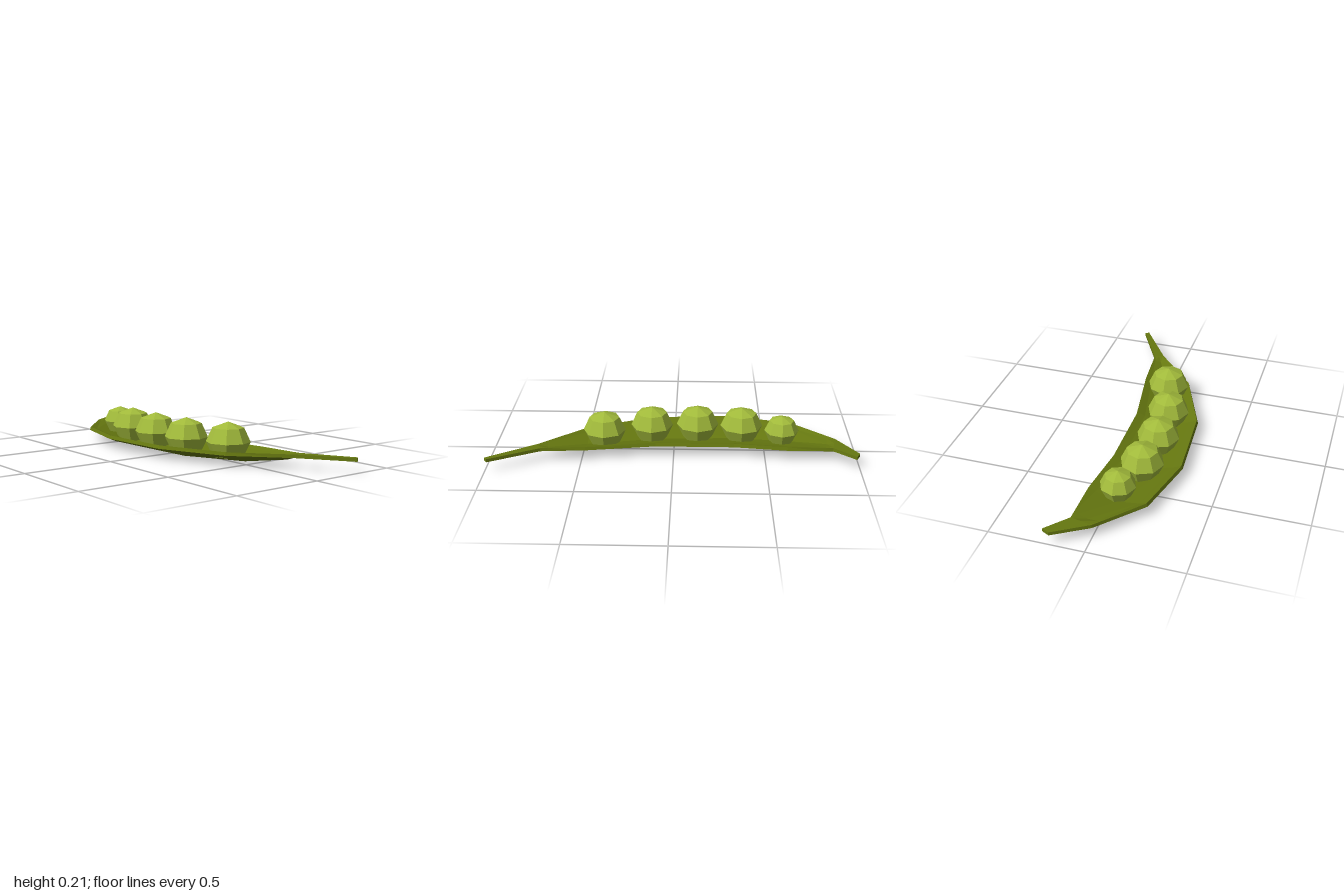
import * as THREE from 'three';

// Stations along the pod: front rim x, z, back rim x, z, bowl depth
const STATIONS = [
  [-1.0, -0.18, -0.98, -0.22, 0],
  [-0.89, 0.0, -0.865, -0.12, 0],
  [-0.85, 0.037, -0.825, -0.12, 0.013],
  [-0.66, 0.21, -0.62, -0.12, 0.04],
  [-0.315, 0.297, -0.33, -0.085, 0.054],
  [0.115, 0.27, 0.1, -0.085, 0.058],
  [0.48, 0.125, 0.48, -0.145, 0.044],
  [0.69, -0.062, 0.68, -0.158, 0.016],
  [0.74, -0.107, 0.72, -0.162, 0],
  [1.0, -0.28, 0.985, -0.3, 0],
];

// Closed cross-section: position from front to back, share of depth, rim height
const SECTION = [
  [0, 0, 0.06], [0.12, 0.34, 0.06], [0.5, 1, 0.06], [0.88, 0.34, 0.06], [1, 0, 0.06],
  [0.98, 0, 0.078], [0.86, 0.34, 0.078], [0.5, 1, 0.078], [0.14, 0.34, 0.078], [0.02, 0, 0.078],
];

// x, z, radius, half height
const PEAS = [
  [-0.595, 0.035, 0.095, 0.085],
  [-0.375, 0.095, 0.117, 0.105],
  [-0.13, 0.11, 0.117, 0.105],
  [0.125, 0.095, 0.117, 0.105],
  [0.385, 0.023, 0.117, 0.105],
];

function faceted(geometry) {
  const g = geometry.index ? geometry.toNonIndexed() : geometry;
  g.computeVertexNormals();
  return g;
}

function podGeometry() {
  const n = SECTION.length;
  const last = (STATIONS.length - 1) * n;
  const positions = [];
  const index = [];
  for (const [fx, fz, bx, bz, depth] of STATIONS) {
    for (const [t, share, y] of SECTION) {
      positions.push(fx + (bx - fx) * t, y - depth * share, fz + (bz - fz) * t);
    }
  }
  // Skin between neighbouring sections
  for (let i = 0; i < STATIONS.length - 1; i++) {
    for (let j = 0; j < n; j++) {
      const k = (j + 1) % n;
      const a = i * n + j, b = i * n + k, c = b + n, d = a + n;
      index.push(a, b, c, a, c, d);
    }
  }
  // End caps
  for (let j = 1; j < n - 1; j++) {
    index.push(0, j + 1, j, last, last + j, last + j + 1);
  }
  const g = new THREE.BufferGeometry();
  g.setAttribute('position', new THREE.Float32BufferAttribute(positions, 3));
  g.setIndex(index);
  return faceted(g);
}

function peaGeometry(radius, height) {
  const g = new THREE.SphereGeometry(1, 8, 4);
  const p = g.attributes.position;
  // Flatten the underside so it rests inside the pod
  for (let i = 0; i < p.count; i++) p.setY(i, Math.max(p.getY(i), -0.85));
  g.scale(radius, height, radius);
  return faceted(g);
}

export function createModel() {
  const podGreen = new THREE.MeshStandardMaterial({ color: 0x667810 });
  podGreen.name = 'pod green';
  const peaGreen = new THREE.MeshStandardMaterial({ color: 0xa2bb3b });
  peaGreen.name = 'pea green';

  const model = new THREE.Group();
  model.name = 'peaPod';

  const pod = new THREE.Mesh(podGeometry(), podGreen);
  pod.name = 'pod';
  model.add(pod);

  // Row of peas
  PEAS.forEach(([x, z, radius, height], i) => {
    const pea = new THREE.Mesh(peaGeometry(radius, height), peaGreen);
    pea.name = `pea${i + 1}`;
    pea.position.set(x, 0.11, z);
    model.add(pea);
  });

  return model;
}
